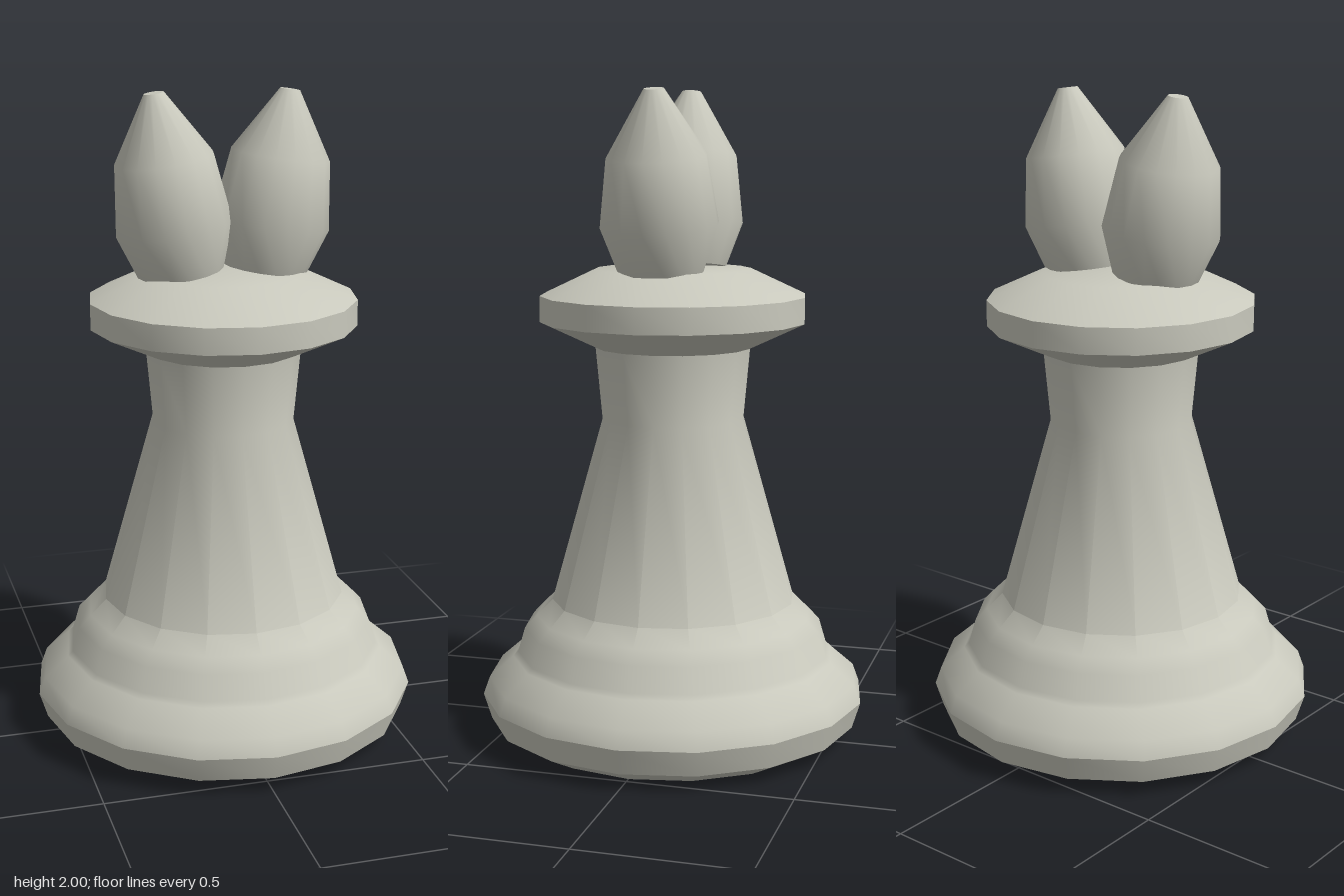
import * as THREE from 'three';
import { toCreasedNormals } from 'three/addons/utils/BufferGeometryUtils.js';

const SIDES = 16;

export function createModel() {
  const stone = new THREE.MeshStandardMaterial({ color: 0xc9c9bd });
  stone.name = 'pale stone';

  const model = new THREE.Group();
  model.name = 'chessPiece';

  // Turned part from [radius, height] pairs, bottom to top
  const turned = (name, profile) => {
    const points = profile.map(([r, y]) => new THREE.Vector2(r, y));
    const geometry = toCreasedNormals(new THREE.LatheGeometry(points, SIDES), 0.6);
    const mesh = new THREE.Mesh(geometry, stone);
    mesh.name = name;
    return mesh;
  };

  // Stepped base, tapering stem and collar
  model.add(turned('body', [
    [0, 0], [0.48, 0], [0.575, 0.05], [0.6, 0.13], [0.58, 0.185],
    [0.505, 0.25], [0.49, 0.265], [0.468, 0.34], [0.43, 0.38], [0.38, 0.43],
    [0.22, 1.0], [0.24, 1.22],
    [0.41, 1.3], [0.41, 1.38], [0.24, 1.46], [0, 1.46],
  ]));

  // Two pointed horns leaning outward and meeting in the middle
  for (const side of [1, -1]) {
    const horn = turned(side > 0 ? 'leftHorn' : 'rightHorn', [
      [0, 0], [0.13, 0], [0.178, 0.14], [0.15, 0.345], [0.03, 0.54], [0, 0.54],
    ]);
    horn.position.set(side * 0.13, 1.462, 0);
    horn.rotation.z = -side * 0.145;
    model.add(horn);
  }

  return model;
}
